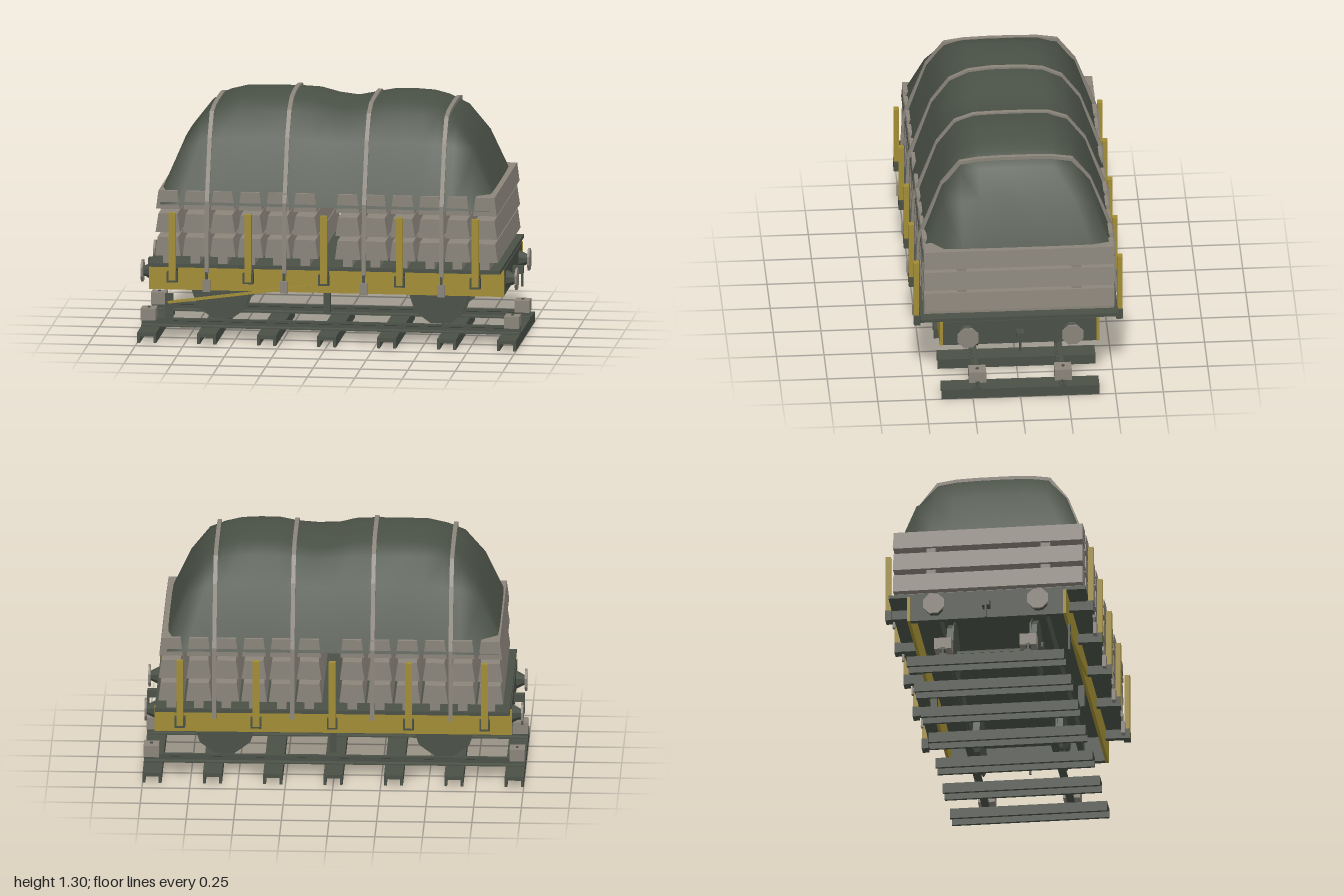
import * as THREE from 'three';

const mat = (name, color) => {
  const m = new THREE.MeshStandardMaterial({ color });
  m.name = name;
  return m;
};

export function createModel() {
  const root = new THREE.Group();
  const dark = mat('darkGreen', 0x4a5046);
  const grey = mat('warmGrey', 0x8a847a);
  const yellow = mat('ochreYellow', 0xa08c34);
  const cloth = mat('tarpGreen', 0x4a5146);
  cloth.side = THREE.DoubleSide;

  const add = (name, geo, m, x = 0, y = 0, z = 0) => {
    const mesh = new THREE.Mesh(geo, m);
    mesh.name = name;
    mesh.position.set(x, y, z);
    root.add(mesh);
    return mesh;
  };
  // box given by its centre in x and z and its bottom and top heights
  const box = (name, m, x, z, y0, y1, w, d) =>
    add(name, new THREE.BoxGeometry(w, y1 - y0, d), m, x, (y0 + y1) / 2, z);
  const prism = (pts, depth) => new THREE.ExtrudeGeometry(
    new THREE.Shape(pts.map(p => new THREE.Vector2(...p))),
    { depth, bevelEnabled: false }).translate(0, 0, -depth / 2);
  // cylinder with flat sides, lying along z or x
  const disc = (r0, r1, len, sides, axis) => {
    const g = new THREE.CylinderGeometry(r0, r1, len, sides).toNonIndexed();
    g.rotateY(Math.PI / sides);
    if (axis === 'z') g.rotateX(Math.PI / 2); else g.rotateZ(-Math.PI / 2);
    g.computeVertexNormals();
    return g;
  };

  // Track: channel sleepers, rails and end stops
  const sleeper = prism([[-0.05, 0], [-0.035, 0], [-0.035, 0.035], [0.035, 0.035],
    [0.035, 0], [0.05, 0], [0.05, 0.055], [-0.05, 0.055]], 0.83);
  for (let i = -3; i <= 3; i++) add('sleeper', sleeper, dark, i * 0.3167, 0, 0);
  const railGeo = prism([[-0.02, 0.055], [0.02, 0.055], [0.02, 0.062], [0.005, 0.068],
    [0.005, 0.085], [0.012, 0.088], [0.012, 0.1], [-0.012, 0.1], [-0.012, 0.088],
    [-0.005, 0.085], [-0.005, 0.068], [-0.02, 0.062]], 2).rotateY(Math.PI / 2);
  for (const s of [-1, 1]) {
    add('rail', railGeo, dark, 0, 0, s * 0.225);
    for (const e of [-1, 1]) {
      box('railStop', grey, e * 0.96, s * 0.225, 0.092, 0.155, 0.08, 0.09);
      add('stopBolt', new THREE.CylinderGeometry(0.008, 0.008, 0.006, 6), dark, e * 0.96, 0.158, s * 0.225);
    }
  }

  // Deck and underframe
  box('deck', dark, 0, 0, 0.428, 0.447, 1.86, 1.04);
  for (const s of [-1, 1]) {
    box('sideSill', yellow, 0, s * 0.412, 0.29, 0.428, 1.876, 0.016);
    box('innerBeam', dark, 0, s * 0.28, 0.34, 0.428, 1.8, 0.03);
    box('endBeam', dark, s * 0.92, 0, 0.29, 0.428, 0.03, 0.808);
    box('hangerPlate', dark, 0, s * 0.39, 0.178, 0.3, 0.035, 0.035);
  }

  // Wheelsets with axle guards
  const wheel = disc(0.155, 0.155, 0.03, 10, 'z');
  const flange = disc(0.165, 0.165, 0.008, 10, 'z');
  const guard = prism([[-0.13, 0.34], [-0.05, 0.2], [0.05, 0.2], [0.13, 0.34],
    [0.09, 0.34], [0.04, 0.25], [-0.04, 0.25], [-0.09, 0.34]], 0.01);
  for (const x of [-0.575, 0.575]) {
    add('axle', disc(0.015, 0.015, 0.42, 8, 'z'), dark, x, 0.255, 0);
    for (const s of [-1, 1]) {
      add('wheel', wheel, dark, x, 0.255, s * 0.223);
      add('wheelFlange', flange, dark, x, 0.258, s * 0.204);
      add('axleGuard', guard, dark, x, 0, s * 0.244);
      add('axleBox', disc(0.04, 0.04, 0.02, 6, 'z'), dark, x, 0.255, s * 0.248);
    }
  }

  // Buffers and couplers at both ends
  for (const e of [-1, 1]) {
    for (const s of [-1, 1]) {
      const stem = e > 0 ? disc(0.022, 0.05, 0.055, 8, 'x') : disc(0.05, 0.022, 0.055, 8, 'x');
      add('bufferStem', stem, dark, e * 0.96, 0.36, s * 0.275);
      add('bufferHead', disc(0.06, 0.06, 0.012, 8, 'x'), grey, e * 0.988, 0.36, s * 0.275);
    }
    box('couplerBlock', dark, e * 0.96, 0, 0.337, 0.377, 0.06, 0.04);
    box('couplerLink', dark, e * 0.985, 0, 0.268, 0.35, 0.012, 0.012);
  }

  // Brake lever on the front side
  const lever = box('brakeLever', yellow, -0.465, 0.426, 0.266, 0.28, 0.75, 0.012);
  lever.rotation.z = 0.135;
  box('brakeBlock', dark, -0.83, 0.424, 0.12, 0.27, 0.045, 0.012);

  // Side stakes in their brackets
  for (const s of [-1, 1]) for (let i = -2; i <= 2; i++) {
    const x = i * 0.4;
    box('stake', yellow, x, s * 0.535, 0.362, 0.722, 0.036, 0.028);
    for (const k of [-1, 1]) box('stakeBracketCheek', dark, x + k * 0.023, s * 0.532, 0.36, 0.408, 0.01, 0.034);
    box('stakeBracketBase', dark, x, s * 0.532, 0.352, 0.362, 0.056, 0.034);
    box('stakeBracketArm', dark, x, s * 0.468, 0.36, 0.41, 0.03, 0.1);
  }

  // Load: twelve stacks of tapered timbers lying across the wagon
  const timber = (y0, y1, w0, w1) =>
    prism([[-w0 / 2, y0], [w0 / 2, y0], [w1 / 2, y1], [-w1 / 2, y1]], 1);
  const rows = [timber(0.447, 0.485, 0.05, 0.05), timber(0.485, 0.585, 0.135, 0.108),
    timber(0.61, 0.71, 0.13, 0.1), timber(0.735, 0.832, 0.125, 0.1)];
  for (let i = 0; i < 12; i++) {
    const x = i < 6 ? -0.828 + i * 0.145 : 0.122 + (i - 6) * 0.145;
    for (const g of rows) add('loadTimber', g, grey, x, 0, 0);
    for (const s of [-1, 1]) box('loadSpacer', grey, x, s * 0.302, 0.55, 0.77, 0.09, 0.05);
  }

  // Tarpaulin: a grid whose height follows a long and a cross profile
  const along = [[-0.87, 0.83], [-0.77, 1.07], [-0.67, 1.2], [-0.58, 1.255], [-0.48, 1.285],
    [-0.36, 1.292], [-0.2, 1.292], [-0.1, 1.278], [0, 1.252], [0.1, 1.24], [0.2, 1.26],
    [0.3, 1.282], [0.4, 1.286], [0.5, 1.275], [0.58, 1.255], [0.67, 1.2], [0.77, 1.07], [0.87, 0.83]];
  const half = [[0.505, 0.76], [0.39, 1.1], [0.295, 1.23], [0.195, 1.278], [0.08, 1.291]];
  const across = [...half.map(([z, y]) => [-z, y]), ...half.slice().reverse()];
  const height = (a, b) => {
    const product = 0.76 + (a - 0.76) * (b - 0.76) / 0.531;
    return 0.65 * Math.min(a, b) + 0.35 * product;
  };
  const tarp = new THREE.PlaneGeometry(1, 1, along.length - 1, across.length - 1);
  across.forEach(([z, b], j) => along.forEach(([x, a], i) =>
    tarp.attributes.position.setXYZ(j * along.length + i, x, height(a, b), z)));
  tarp.computeVertexNormals();
  add('tarpaulin', tarp, cloth);

  // Straps over the tarpaulin, each with a tensioner on the front
  const topAt = x => {
    const i = along.findIndex(p => p[0] >= x);
    const [x0, y0] = along[i - 1], [x1, y1] = along[i];
    return y0 + (y1 - y0) * (x - x0) / (x1 - x0);
  };
  for (const x of [-0.62, -0.21, 0.21, 0.62]) {
    const a = topAt(x);
    const line = [[-0.528, 0.4], [-0.51, 0.77],
      ...across.slice(1, -1).map(([z, b]) => [z, height(a, b)]), [0.51, 0.77], [0.528, 0.4]];
    const outer = line.map(([z, y]) => [z * 1.012, y > 0.5 ? y + 0.012 : y]);
    const inner = line.map(([z, y]) => [z * 0.99, y > 0.5 ? y - 0.006 : y]).reverse();
    add('strap', prism([...outer, ...inner], 0.022).rotateY(-Math.PI / 2), grey, x);
    box('strapTensioner', grey, x, 0.535, 0.305, 0.37, 0.04, 0.02);
    box('tensionerLink', dark, x, 0.53, 0.36, 0.41, 0.014, 0.01);
  }

  return root;
}
